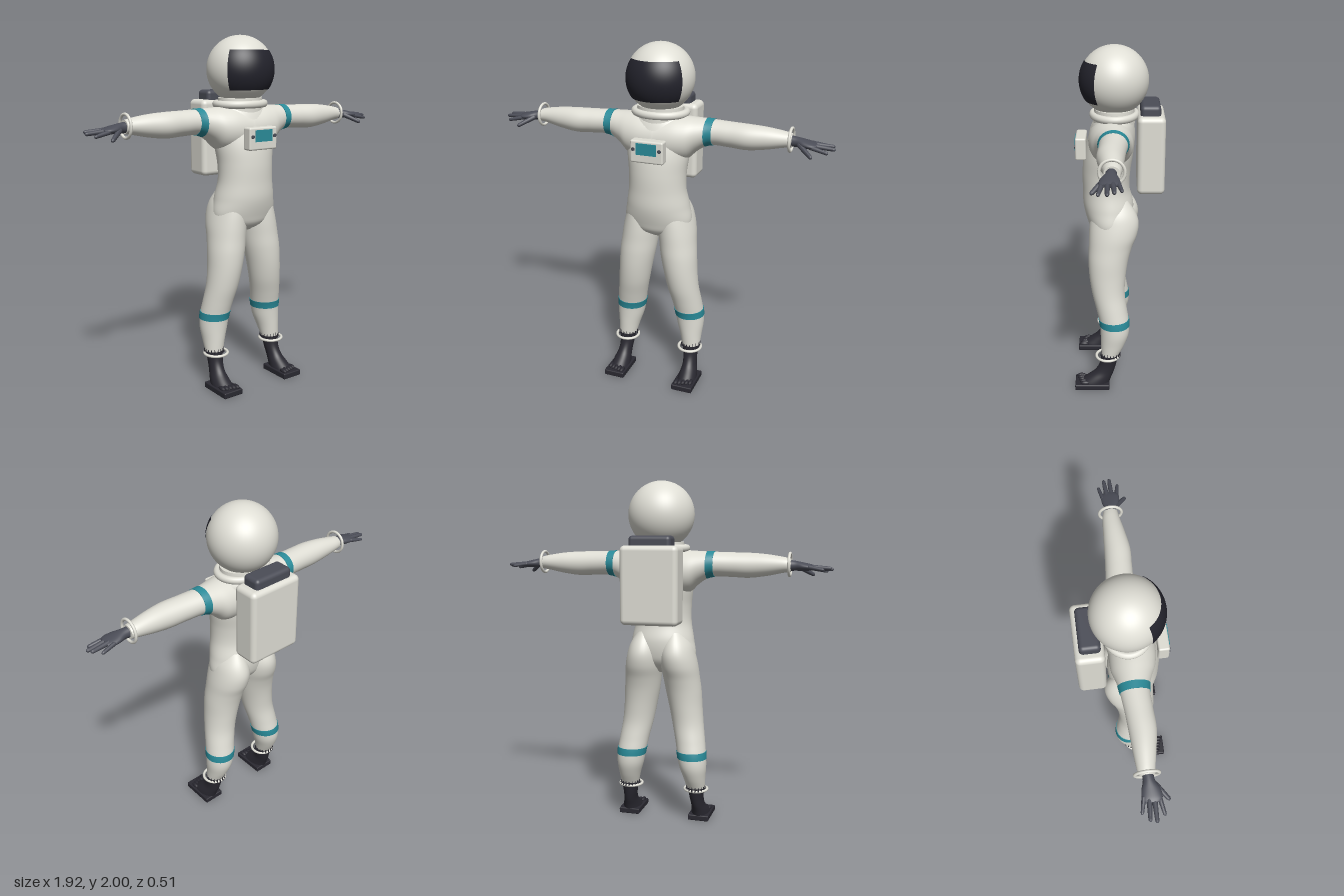
import * as THREE from 'three';
import { RoundedBoxGeometry } from 'three/addons/geometries/RoundedBoxGeometry.js';

const material = (name, color) => Object.assign(new THREE.MeshStandardMaterial({ color }), { name });

// Smoothly interpolates section rows [t, aMin, aMax, bMin, bMax] at t
function sample(rows, t) {
  let i = 0;
  while (i < rows.length - 2 && t > rows[i + 1][0]) i++;
  const p = rows[i], q = rows[i + 1], h = q[0] - p[0], u = (t - p[0]) / h;
  const slope = (k, c) => {
    const m = rows[Math.max(k - 1, 0)], n = rows[Math.min(k + 1, rows.length - 1)];
    return (n[c] - m[c]) / (n[0] - m[0]);
  };
  return [1, 2, 3, 4].map((c) =>
    p[c] * (1 + 2 * u) * (1 - u) ** 2 + q[c] * u * u * (3 - 2 * u) +
    h * (slope(i, c) * u * (1 - u) ** 2 + slope(i + 1, c) * u * u * (u - 1)));
}

// Closed tube of elliptical sections; axis 'y' uses (x, z) sections, axis 'x' uses (y, z)
function loft(rows, axis, { from = rows[0][0], to = rows.at(-1)[0], steps = 40, sides = 40, grow = 0 } = {}) {
  const pos = [], index = [];
  const put = (t, a, b) => (axis === 'y' ? pos.push(a, t, b) : pos.push(t, a, b));
  const tri = (a, b, c) => (axis === 'y' ? index.push(a, b, c) : index.push(a, c, b));
  for (let i = 0; i <= steps; i++) {
    const t = from + (to - from) * i / steps;
    const [a0, a1, b0, b1] = sample(rows, t);
    for (let j = 0; j < sides; j++) {
      const w = j / sides * Math.PI * 2;
      put(t, (a0 + a1) / 2 + ((a1 - a0) / 2 + grow) * Math.cos(w), (b0 + b1) / 2 + ((b1 - b0) / 2 + grow) * Math.sin(w));
    }
  }
  for (let i = 0; i < steps; i++) for (let j = 0; j < sides; j++) {
    const p = i * sides + j, q = i * sides + (j + 1) % sides;
    tri(p, p + sides, q);
    tri(q, p + sides, q + sides);
  }
  // End caps
  for (const [t, ring, flip] of [[from, 0, false], [to, steps * sides, true]]) {
    const [a0, a1, b0, b1] = sample(rows, t), base = pos.length / 3;
    for (let j = 0; j < sides; j++) {
      const k = (ring + j) * 3;
      pos.push(pos[k], pos[k + 1], pos[k + 2]);
    }
    put(t, (a0 + a1) / 2, (b0 + b1) / 2);
    for (let j = 0; j < sides; j++) {
      const p = base + j, q = base + (j + 1) % sides;
      flip ? tri(base + sides, q, p) : tri(base + sides, p, q);
    }
  }
  const g = new THREE.BufferGeometry();
  g.setAttribute('position', new THREE.Float32BufferAttribute(pos, 3));
  g.setIndex(index);
  g.computeVertexNormals();
  return g;
}

// Tapered rounded finger between two points
function finger(from, to, r) {
  const a = new THREE.Vector3(...from), d = new THREE.Vector3(...to).sub(a), len = d.length();
  const g = new THREE.CapsuleGeometry(r, len - r, 6, 12);
  const p = g.attributes.position;
  for (let i = 0; i < p.count; i++) {
    const k = 1 - 0.3 * (p.getY(i) / len + 0.5);
    p.setX(i, p.getX(i) * k);
    p.setZ(i, p.getZ(i) * k);
  }
  g.computeVertexNormals();
  g.applyQuaternion(new THREE.Quaternion().setFromUnitVectors(new THREE.Vector3(0, 1, 0), d.clone().normalize()));
  return g.translate(...a.addScaledVector(d, 0.5).toArray());
}

// Copy reflected across x = 0, with the winding kept outward
function mirror(geo) {
  const g = geo.clone();
  for (const key of ['position', 'normal']) {
    const at = g.attributes[key];
    for (let i = 0; i < at.count; i++) at.setX(i, -at.getX(i));
  }
  const n = g.index ? g.index.count : g.attributes.position.count;
  const ids = Array.from({ length: n }, (_, i) => (g.index ? g.index.getX(i) : i));
  for (let i = 0; i < n; i += 3) [ids[i + 1], ids[i + 2]] = [ids[i + 2], ids[i + 1]];
  g.setIndex(ids);
  return g;
}

const TORSO = [
  [0.91, -0.05, 0.05, 0, 0.09], [0.95, -0.15, 0.15, -0.045, 0.15], [1.0, -0.195, 0.195, -0.075, 0.172],
  [1.1, -0.184, 0.184, -0.088, 0.197], [1.2, -0.166, 0.166, -0.066, 0.2], [1.3, -0.166, 0.166, -0.07, 0.2],
  [1.4, -0.178, 0.178, -0.085, 0.19], [1.5, -0.18, 0.18, -0.095, 0.165], [1.57, -0.165, 0.165, -0.09, 0.14],
  [1.61, -0.14, 0.14, -0.08, 0.12], [1.66, -0.1, 0.1, -0.06, 0.1],
];
const LEG = [
  [0.215, 0.152, 0.26, -0.007, 0.098], [0.28, 0.135, 0.265, -0.04, 0.1], [0.35, 0.113, 0.272, -0.064, 0.102],
  [0.42, 0.1, 0.27, -0.066, 0.107], [0.5, 0.085, 0.26, -0.053, 0.125], [0.6, 0.062, 0.246, -0.04, 0.15],
  [0.7, 0.042, 0.237, -0.045, 0.165], [0.8, 0.022, 0.231, -0.06, 0.17], [0.88, 0.01, 0.222, -0.082, 0.167],
  [0.95, 0, 0.214, -0.109, 0.165], [1.02, 0, 0.199, -0.118, 0.16], [1.08, 0.012, 0.18, -0.1, 0.15],
  [1.15, 0.04, 0.14, -0.055, 0.13],
];
const BOOT = [
  [0.015, 0.163, 0.272, 0.055, 0.235], [0.03, 0.163, 0.272, 0.05, 0.23], [0.06, 0.168, 0.265, 0.04, 0.19],
  [0.1, 0.172, 0.253, 0.024, 0.138], [0.15, 0.166, 0.25, 0.01, 0.108], [0.222, 0.156, 0.257, -0.006, 0.096],
];
const ARM = [
  [0, 1.36, 1.61, -0.08, 0.165], [0.1, 1.365, 1.615, -0.085, 0.16], [0.17, 1.38, 1.613, -0.083, 0.145],
  [0.22, 1.425, 1.61, -0.07, 0.122], [0.29, 1.465, 1.607, -0.056, 0.1], [0.4, 1.467, 1.604, -0.043, 0.101],
  [0.5, 1.463, 1.602, -0.036, 0.105], [0.6, 1.475, 1.595, -0.03, 0.09], [0.7, 1.495, 1.58, -0.022, 0.07],
  [0.735, 1.5, 1.572, -0.015, 0.065],
];
const PALM = [
  [0.72, 1.505, 1.565, 0, 0.055], [0.76, 1.506, 1.56, 0, 0.06], [0.8, 1.506, 1.552, -0.012, 0.08],
  [0.845, 1.508, 1.542, -0.014, 0.085], [0.865, 1.515, 1.535, 0, 0.07],
];
const FINGERS = [
  [[0.83, 1.527, -0.004], [0.91, 1.515, -0.022], 0.012], [[0.84, 1.527, 0.02], [0.947, 1.522, 0.012], 0.014],
  [[0.84, 1.525, 0.045], [0.955, 1.515, 0.044], 0.014], [[0.83, 1.523, 0.068], [0.925, 1.503, 0.086], 0.013],
  [[0.775, 1.527, 0.055], [0.85, 1.482, 0.118], 0.015],
];

export function createModel() {
  const model = new THREE.Group();
  model.name = 'spaceSuitFigure';
  const suit = material('suitWhite', 0xdfded5);
  const teal = material('tealStripe', 0x2a8b99);
  const glove = material('gloveGrey', 0x4b4d57);
  const dark = material('bootDark', 0x2a2931);
  const glass = material('visorGlass', 0x23232c);

  const add = (name, geo, mat) => {
    const mesh = new THREE.Mesh(geo, mat);
    mesh.name = name;
    model.add(mesh);
  };
  const pair = (name, geo, mat) => {
    add(name + 'Left', geo, mat);
    add(name + 'Right', mirror(geo), mat);
  };

  // Torso, collar and helmet
  add('torso', loft(TORSO, 'y', { steps: 60, sides: 56 }), suit);
  add('collar', new THREE.TorusGeometry(0.144, 0.021, 16, 56).rotateX(Math.PI / 2).scale(1, 1, 0.83).translate(0, 1.625, 0.02), suit);
  add('neck', new THREE.CylinderGeometry(0.13, 0.135, 0.08, 40).scale(1, 1, 0.85).translate(0, 1.62, 0.02), suit);
  add('helmet', new THREE.SphereGeometry(0.188, 56, 40).translate(0, 1.812, 0.02), suit);
  const spread = 1.0;
  add('visor', new THREE.SphereGeometry(0.192, 40, 28, Math.PI / 2 - spread, spread * 2, 0.98, 1.18).translate(0, 1.812, 0.02), glass);

  // Arms, shoulder stripes, wrist rings and gloves
  pair('arm', loft(ARM, 'x', { steps: 56 }), suit);
  pair('armStripe', loft(ARM, 'x', { from: 0.27, to: 0.312, steps: 6, grow: 0.003 }), teal);
  pair('wristRing', new THREE.TorusGeometry(0.061, 0.008, 12, 40).rotateY(Math.PI / 2).translate(0.728, 1.54, 0.025), suit);
  pair('palm', loft(PALM, 'x', { steps: 20, sides: 28 }), glove);
  FINGERS.forEach((f, i) => pair(i === 4 ? 'thumb' : 'finger' + (i + 1), finger(...f), glove));

  // Legs, stripes, ankle rings
  pair('leg', loft(LEG, 'y', { steps: 64 }), suit);
  pair('legStripe', loft(LEG, 'y', { from: 0.402, to: 0.444, steps: 6, grow: 0.003 }), teal);
  pair('ankleRing', new THREE.TorusGeometry(0.067, 0.008, 12, 40).rotateX(Math.PI / 2).translate(0.203, 0.2, 0.06), suit);

  // Serrated boot top around each ankle
  const [a0, a1, b0, b1] = sample(LEG, 0.225);
  for (let i = 0; i < 18; i++) {
    const w = i / 18 * Math.PI * 2;
    pair('bootTooth', new THREE.ConeGeometry(0.006, 0.036, 5).translate(
      (a0 + a1) / 2 + (a1 - a0) / 2 * Math.cos(w), 0.218, (b0 + b1) / 2 + (b1 - b0) / 2 * Math.sin(w)), dark);
  }

  // Boots with toes on flat soles
  pair('boot', loft(BOOT, 'y', { steps: 24 }), dark);
  pair('sole', new RoundedBoxGeometry(0.125, 0.034, 0.205, 2, 0.006).translate(0.2175, 0.017, 0.1525), dark);
  for (let i = 0; i < 5; i++) {
    pair('toe', new THREE.SphereGeometry(0.014, 12, 10).scale(0.9, 1, 2)
      .translate(0.176 + i * 0.0205, 0.038, 0.22 - i * 0.006), dark);
  }

  // Chest control box
  add('chestBox', new RoundedBoxGeometry(0.188, 0.124, 0.06, 3, 0.01).translate(0, 1.447, 0.205), suit);
  add('chestScreen', new THREE.BoxGeometry(0.116, 0.064, 0.008).translate(0, 1.463, 0.235), teal);
  pair('chestKnob', new THREE.CylinderGeometry(0.01, 0.01, 0.012, 16).rotateX(Math.PI / 2).translate(0.075, 1.46, 0.235), glove);

  // Backpack with grey top pad
  add('backpack', new RoundedBoxGeometry(0.33, 0.435, 0.152, 5, 0.028).translate(0, 1.425, -0.181), suit);
  add('backpackPad', new RoundedBoxGeometry(0.24, 0.075, 0.11, 4, 0.022).translate(0, 1.658, -0.177), glove);

  return model;
}
